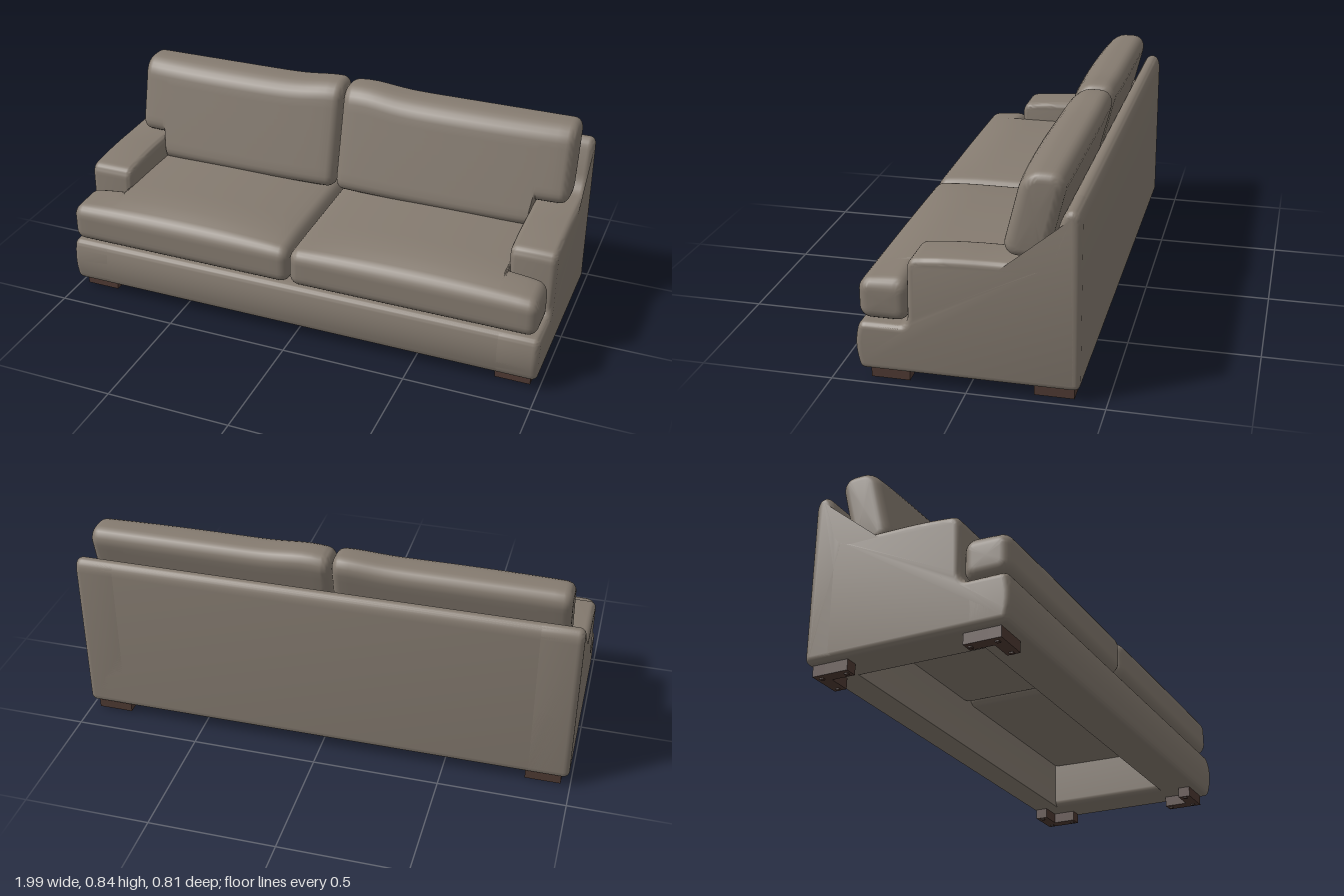
import * as THREE from 'three';
import { toCreasedNormals } from 'three/addons/utils/BufferGeometryUtils.js';

const fabric = new THREE.MeshStandardMaterial({ name: 'taupe fabric', color: 0x857b70 });
const wood = new THREE.MeshStandardMaterial({ name: 'dark wood', color: 0x4f3a33 });

// Extrudes a (z, y) profile along x between x0 and x1, with soft bevelled ends
function upholstered(name, x0, x1, draw) {
  const bevel = 0.025;
  const shape = new THREE.Shape();
  draw({
    move: (z, y) => shape.moveTo(-z, y),
    line: (z, y) => shape.lineTo(-z, y),
    bend: (cz, cy, z, y) => shape.quadraticCurveTo(-cz, cy, -z, y),
  });
  const geo = new THREE.ExtrudeGeometry(shape, {
    depth: x1 - x0 - 2 * bevel, curveSegments: 8,
    bevelThickness: bevel, bevelSize: bevel, bevelOffset: -bevel, bevelSegments: 5,
  });
  geo.rotateY(Math.PI / 2).translate(x0 + bevel, 0, 0);
  const mesh = new THREE.Mesh(toCreasedNormals(geo, 0.75), fabric);
  mesh.name = name;
  return mesh;
}

// Counter-clockwise rounded rectangle in (z, y)
function roundedLoop(z0, z1, y0, y1, r) {
  const pts = [];
  const corners = [[z1 - r, y0 + r], [z1 - r, y1 - r], [z0 + r, y1 - r], [z0 + r, y0 + r]];
  corners.forEach(([cz, cy], k) => {
    for (let i = 0; i <= 6; i++) {
      const a = (k - 1 + i / 6) * Math.PI / 2;
      pts.push([cz + r * Math.cos(a), cy + r * Math.sin(a)]);
    }
    const last = pts[pts.length - 1];
    const [nz, ny] = corners[(k + 1) % 4];
    const a = k * Math.PI / 2;
    const next = [nz + r * Math.cos(a), ny + r * Math.sin(a)];
    for (let i = 1; i < 10; i++) {
      const t = i / 10;
      pts.push([last[0] + (next[0] - last[0]) * t, last[1] + (next[1] - last[1]) * t]);
    }
  });
  return pts;
}

// Lofts section(x, inset, s) loops along x, pulling both ends in to a rounded edge
function cushion(name, x0, x1, r, section) {
  const stations = [];
  for (let i = 0; i <= 6; i++) {
    const a = i / 6 * Math.PI / 2;
    const t = r * (1 - Math.cos(a)), inset = r * (1 - Math.sin(a));
    stations.push([x0 + t, inset], [x1 - t, inset]);
  }
  for (let i = 1; i < 24; i++) stations.push([x0 + r + (x1 - x0 - 2 * r) * i / 24, 0]);
  const side = x0 + x1 > 0 ? 1 : -1;
  for (const x of [0.8, 0.805, 0.81, 0.815, 0.82]) stations.push([side * x, 0]);
  stations.sort((a, b) => a[0] - b[0]);

  const pos = [], index = [];
  const loops = stations.map(([x, inset]) => section(x, inset, (x - x0) / (x1 - x0)));
  const n = loops[0].length, last = loops.length - 1;
  loops.forEach((loop, i) => loop.forEach(([z, y]) => pos.push(stations[i][0], y, z)));
  for (let i = 0; i < last; i++) {
    for (let j = 0; j < n; j++) {
      const a = i * n + j, b = i * n + (j + 1) % n;
      index.push(a, a + n, b, a + n, b + n, b);
    }
  }
  // end caps
  for (const i of [0, last]) {
    const c = pos.length / 3;
    const mid = [0, 1].map(k => loops[i].reduce((sum, p) => sum + p[k], 0) / n);
    pos.push(stations[i][0], mid[1], mid[0]);
    for (let j = 0; j < n; j++) {
      const a = i * n + j, b = i * n + (j + 1) % n;
      if (i === 0) index.push(c, a, b); else index.push(c, b, a);
    }
  }
  const geo = new THREE.BufferGeometry();
  geo.setAttribute('position', new THREE.Float32BufferAttribute(pos, 3));
  geo.setIndex(index);
  const mesh = new THREE.Mesh(toCreasedNormals(geo, 0.75), fabric);
  mesh.name = name;
  return mesh;
}

const { smoothstep, lerp } = THREE.MathUtils;
const pastArm = x => smoothstep(Math.abs(x), 0.8, 0.82);

// Seat: wraps in front of the arm, with a crowned top that falls toward the front
function seatSection(x, inset, s) {
  const zBack = lerp(-0.3, 0.215, pastArm(x));
  const y0 = 0.235, y1 = 0.39;
  const crown = 0.042 * Math.pow(Math.max(0, Math.sin(Math.PI * s)), 0.6);
  return roundedLoop(zBack + inset, 0.4 - inset, y0 + inset, y1 - inset, Math.max(0.012, 0.045 - inset))
    .map(([z, y]) => {
      const front = Math.sin(Math.PI / 2 * Math.min(1, Math.max(0, (0.4 - z) / 0.19)));
      return [z, y + crown * front * smoothstep(y, 0.27, 0.39)];
    });
}

// Back cushion: leans backward, bellies forward and rests on top of the arm
function backSection(x, inset, s) {
  const y0 = lerp(0.41, 0.515, pastArm(x));
  const y1 = 0.82 + 0.015 * Math.exp(-Math.pow((Math.abs(x) - 0.07) / 0.12, 2));
  const belly = 0.025 * Math.sqrt(Math.max(0, Math.sin(Math.PI * s)));
  return roundedLoop(-0.08 + inset, 0.075 - inset, y0 + inset, y1 - inset, Math.max(0.012, 0.055 - inset))
    .map(([z, y]) => [
      z - 0.195 - 0.25 * (y - 0.52) + (z > 0 ? belly * z / 0.075 : 0),
      y + 0.01 * (1 - Math.pow(z / 0.08, 2)) * smoothstep(y, 0.7, 0.82),
    ]);
}

// Upper back edge shared by the side panels and the back panel
function backEdge(p) {
  p.bend(-0.29, 0.52, -0.305, 0.6);
  p.line(-0.33, 0.675);
  p.bend(-0.345, 0.72, -0.37, 0.72);
  p.bend(-0.402, 0.718, -0.405, 0.67);
  p.line(-0.405, 0.075);
  p.bend(-0.405, 0.048, -0.38, 0.047);
}

export function createModel() {
  const sofa = new THREE.Group();
  sofa.name = 'sofa';

  // Side panels with arms
  const sideProfile = p => {
    p.move(0.375, 0.047);
    p.bend(0.395, 0.047, 0.4, 0.075);
    p.bend(0.417, 0.14, 0.4, 0.205);
    p.bend(0.395, 0.232, 0.365, 0.232);
    p.line(0.245, 0.232);
    p.bend(0.213, 0.235, 0.213, 0.275);
    p.line(0.21, 0.45);
    p.bend(0.207, 0.497, 0.165, 0.498);
    p.bend(0.08, 0.508, -0.03, 0.51);
    p.line(-0.235, 0.512);
    backEdge(p);
    p.line(0.375, 0.047);
  };
  sofa.add(upholstered('leftArm', 0.81, 0.993, sideProfile));
  sofa.add(upholstered('rightArm', -0.993, -0.81, sideProfile));

  // Back panel and front rail, leaving the underside open between them
  sofa.add(upholstered('backPanel', -0.993, 0.993, p => {
    p.move(-0.28, 0.047);
    p.line(-0.28, 0.4);
    p.line(-0.25, 0.515);
    backEdge(p);
    p.line(-0.28, 0.047);
  }));
  sofa.add(upholstered('frontRail', -0.993, 0.993, p => {
    p.move(0.375, 0.047);
    p.bend(0.395, 0.047, 0.4, 0.075);
    p.bend(0.417, 0.14, 0.4, 0.205);
    p.bend(0.395, 0.232, 0.365, 0.232);
    p.line(0.23, 0.232);
    p.line(0.23, 0.047);
    p.line(0.375, 0.047);
  }));

  // Cushions
  sofa.add(cushion('rightSeatCushion', -0.985, -0.024, 0.04, seatSection));
  sofa.add(cushion('leftSeatCushion', -0.021, 0.975, 0.04, seatSection));
  sofa.add(cushion('rightBackCushion', -0.932, -0.027, 0.035, backSection));
  sofa.add(cushion('leftBackCushion', -0.022, 0.948, 0.035, backSection));

  // L-shaped corner feet on small glides
  const box = (group, w, h, d, x, y, z) => {
    const mesh = new THREE.Mesh(new THREE.BoxGeometry(w, h, d), wood);
    mesh.position.set(x, y, z);
    mesh.name = group.name + (h > 0.02 ? 'Block' : 'Glide');
    group.add(mesh);
  };
  for (const sx of [-1, 1]) {
    for (const sz of [-1, 1]) {
      const foot = new THREE.Group();
      foot.name = (sz > 0 ? 'front' : 'back') + (sx > 0 ? 'Left' : 'Right') + 'Foot';
      foot.position.set(sx * 0.893, 0, sz > 0 ? 0.288 : -0.311);
      box(foot, 0.14, 0.046, 0.05, 0, 0.028, sz * 0.047);
      box(foot, 0.05, 0.046, 0.094, sx * 0.045, 0.028, -sz * 0.025);
      box(foot, 0.014, 0.006, 0.014, sx * 0.045, 0.003, sz * 0.047);
      box(foot, 0.014, 0.006, 0.014, -sx * 0.055, 0.003, sz * 0.047);
      box(foot, 0.014, 0.006, 0.014, sx * 0.045, 0.003, -sz * 0.055);
      sofa.add(foot);
    }
  }
  return sofa;
}
